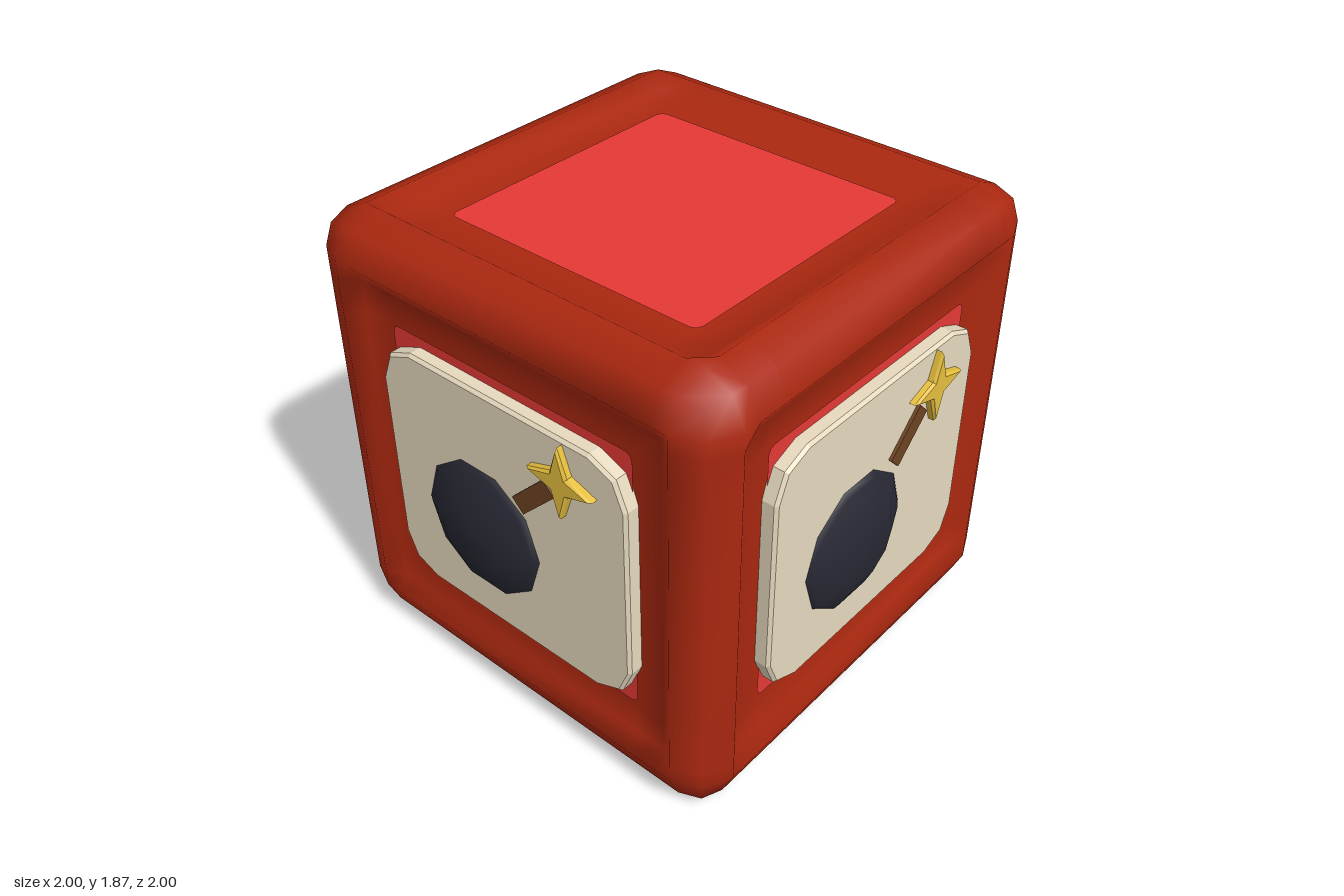
import * as THREE from 'three';
import { mergeGeometries, mergeVertices } from 'three/addons/utils/BufferGeometryUtils.js';

const material = (name, color) => {
  const m = new THREE.MeshStandardMaterial({ color });
  m.name = name;
  return m;
};

const HALF = 0.9325; // half the cube's side

// One cube face: bevelled rim, raised lip and shallow dish, facing +z
function dishedFace() {
  const side = [0.883, 0.77, 0.7, 0.57];
  const height = [0.883, HALF, 0.885, 0.866];
  const steps = [...side.map((s) => -s), ...[...side].reverse()];
  const n = steps.length - 1;
  const g = new THREE.PlaneGeometry(2, 2, n, n);
  g.deleteAttribute('uv');
  g.deleteAttribute('normal');
  const p = g.attributes.position;
  for (let row = 0; row <= n; row++) {
    for (let col = 0; col <= n; col++) {
      const ring = Math.min(row, col, n - row, n - col);
      let x = steps[col], y = -steps[row], z = height[ring];
      const atCorner = (row === 0 || row === n) && (col === 0 || col === n);
      if (atCorner) { // rounded cube corner
        x = Math.sign(x) * 0.862;
        y = Math.sign(y) * 0.862;
        z = 0.862;
      }
      p.setXYZ(row * (n + 1) + col, x, y, z);
    }
  }
  return g;
}

// Six copies of a +z face turned to cover the cube
function onSixFaces(geometry) {
  const faces = [0, 1, 2, 3].map((i) => geometry.clone().rotateY(i * Math.PI / 2));
  faces.push(geometry.clone().rotateX(Math.PI / 2), geometry.clone().rotateX(-Math.PI / 2));
  return mergeGeometries(faces);
}

// Rectangle with two-step corners
function cutCornerShape(w, h, r) {
  const pts = [];
  const k = r * (1 - Math.SQRT1_2);
  const corner = [[0, r], [k, k], [r, 0]];
  for (const [sx, sy] of [[1, 1], [-1, 1], [-1, -1], [1, -1]]) {
    const list = sx * sy > 0 ? corner : [...corner].reverse();
    for (const [dx, dy] of list) pts.push(new THREE.Vector2(sx * (w - dx), sy * (h - dy)));
  }
  return new THREE.Shape(pts);
}

// Bevelled slab between two z heights
function slab(shape, back, front, bevel) {
  const g = new THREE.ExtrudeGeometry(shape, {
    depth: front - back - bevel, bevelEnabled: true, bevelSegments: 1,
    bevelThickness: bevel, bevelSize: bevel, bevelOffset: -bevel,
  });
  return g.translate(0, 0, back);
}

function starShape(outer, inner) {
  const pts = [];
  for (let i = 0; i < 8; i++) {
    const a = i * Math.PI / 4, r = i % 2 ? inner : outer;
    pts.push(new THREE.Vector2(r * Math.cos(a), r * Math.sin(a)));
  }
  return new THREE.Shape(pts);
}

export function createModel() {
  const red = material('dark red', 0xab2810);
  const bright = material('bright red', 0xe53935);
  const cream = material('cream', 0xeee0c4);
  const black = material('blue black', 0x272833);
  const brown = material('brown', 0x6e4423);
  const gold = material('gold', 0xecc440);

  const model = new THREE.Group();
  model.name = 'bombBlock';
  const add = (parent, name, geometry, mat) => {
    const mesh = new THREE.Mesh(geometry, mat);
    mesh.name = name;
    parent.add(mesh);
    return mesh;
  };

  // Body with smooth bevels
  const body = mergeVertices(onSixFaces(dishedFace()), 1e-3);
  body.computeVertexNormals();
  add(model, 'body', body, red).position.y = HALF;

  // Inset panels on every face
  const panel = new THREE.ShapeGeometry(cutCornerShape(0.57, 0.565, 0.03)).translate(0, 0, 0.872);
  add(model, 'panels', onSixFaces(panel), bright).position.y = HALF;

  // Emblem on each of the four sides
  const plate = slab(cutCornerShape(0.59, 0.525, 0.16), 0.84, 0.93, 0.012);
  const dome = new THREE.LatheGeometry(
    [[0.295, 0.9], [0.292, 0.925], [0.262, 0.945], [0.15, 0.996], [0, 1]]
      .map(([r, y]) => new THREE.Vector2(r, y)), 10, Math.PI / 2).rotateX(Math.PI / 2);
  const fuse = new THREE.BoxGeometry(0.225, 0.072, 0.05);
  const star = slab(starShape(0.15, 0.055), 0.91, 0.962, 0.01);

  for (let i = 0; i < 4; i++) {
    const emblem = new THREE.Group();
    emblem.name = 'sideEmblem';
    emblem.position.y = HALF;
    emblem.rotation.y = i * Math.PI / 2;
    add(emblem, 'plate', plate, cream);
    add(emblem, 'bombBall', dome, black).position.set(-0.115, -0.09, 0);
    const stick = add(emblem, 'fuse', fuse, brown);
    stick.position.set(0.174, 0.219, 0.918);
    stick.rotation.z = Math.PI / 4;
    add(emblem, 'spark', star, gold).position.set(0.317, 0.36, 0);
    model.add(emblem);
  }
  return model;
}
